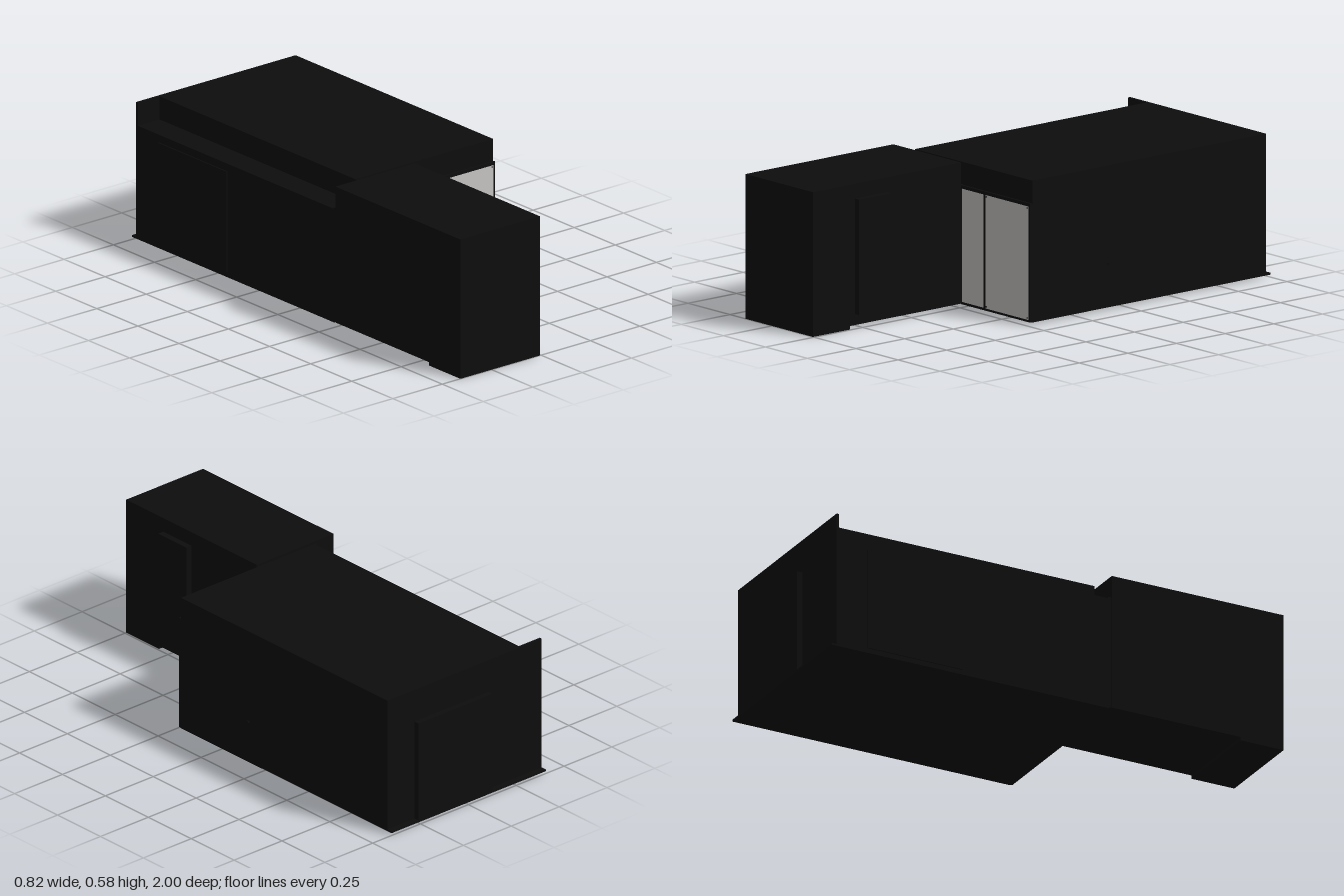
import * as THREE from 'three';

const black = new THREE.MeshStandardMaterial({ color: 0x0d0d0d });
black.name = 'black cladding';
const glass = new THREE.MeshStandardMaterial({ color: 0xc8c6c4 });
glass.name = 'pale glass';

export function createModel() {
  const model = new THREE.Group();
  model.name = 'lShapedBuilding';

  // Box given by its minimum and maximum on each axis
  function box(name, [x0, x1], [y0, y1], [z0, z1], material = black, parent = model) {
    const mesh = new THREE.Mesh(new THREE.BoxGeometry(x1 - x0, y1 - y0, z1 - z0), material);
    mesh.position.set((x0 + x1) / 2, (y0 + y1) / 2, (z0 + z1) / 2);
    mesh.name = name;
    parent.add(mesh);
    return mesh;
  }

  // Main hall: cross-section with a lowered roof ledge along one side
  const section = new THREE.Shape([
    [-0.405, 0.015], [0.402, 0.015], [0.402, 0.578],
    [-0.295, 0.578], [-0.295, 0.482], [-0.405, 0.482],
  ].map(([x, y]) => new THREE.Vector2(x, y)));
  const hall = new THREE.Mesh(
    new THREE.ExtrudeGeometry(section, { depth: 1.19, bevelEnabled: false }), black);
  hall.position.z = -0.965;
  hall.name = 'mainHall';
  model.add(hall);

  // Full-height back wall and the floor slab that sticks out behind it
  box('backWall', [-0.405, 0.402], [0.015, 0.578], [-0.976, -0.965]);
  box('floorSlab', [-0.405, 0.402], [0.01, 0.018], [-1, 0.228]);

  // Front wing, its joint to the hall and the foot under its end
  box('frontWing', [-0.408, -0.006], [0.014, 0.579], [0.24, 1]);
  box('wingJoint', [-0.405, -0.006], [0.014, 0.488], [0.225, 0.24]);
  box('wingFoot', [-0.408, -0.006], [0, 0.014], [0.81, 1]);
  box('wingSideHatch', [-0.006, 0.02], [0.058, 0.52], [0.62, 0.785]);

  // Glazed front: frame, fixed pane and hinged door
  const glazing = new THREE.Group();
  glazing.name = 'glazedFront';
  model.add(glazing);
  box('frameBacking', [-0.006, 0.402], [0.012, 0.485], [0.225, 0.229], black, glazing);
  box('frameTop', [-0.006, 0.402], [0.475, 0.488], [0.229, 0.238], black, glazing);
  box('frameBottom', [-0.006, 0.402], [0.012, 0.02], [0.229, 0.238], black, glazing);
  box('frameMullion', [0.127, 0.137], [0.02, 0.475], [0.229, 0.238], black, glazing);
  box('frameEnd', [0.394, 0.402], [0.02, 0.475], [0.229, 0.238], black, glazing);
  box('fixedPane', [-0.006, 0.127], [0.02, 0.475], [0.229, 0.233], glass, glazing);
  box('doorPane', [0.137, 0.394], [0.02, 0.475], [0.229, 0.236], glass, glazing);
  for (const x of [0.143, 0.387]) {
    for (const y of [0.028, 0.468]) {
      box('cornerFixing', [x - 0.003, x + 0.003], [y - 0.002, y + 0.002], [0.236, 0.238], black, glazing);
    }
  }

  // Back door, side panel and small side fitting
  box('backDoor', [-0.125, 0.26], [0.015, 0.44], [-1, -0.976]);
  box('sidePanel', [-0.41, -0.405], [0.03, 0.45], [-0.84, -0.42]);
  box('sideFitting', [0.402, 0.408], [0.182, 0.189], [-0.172, -0.162]);

  return model;
}
